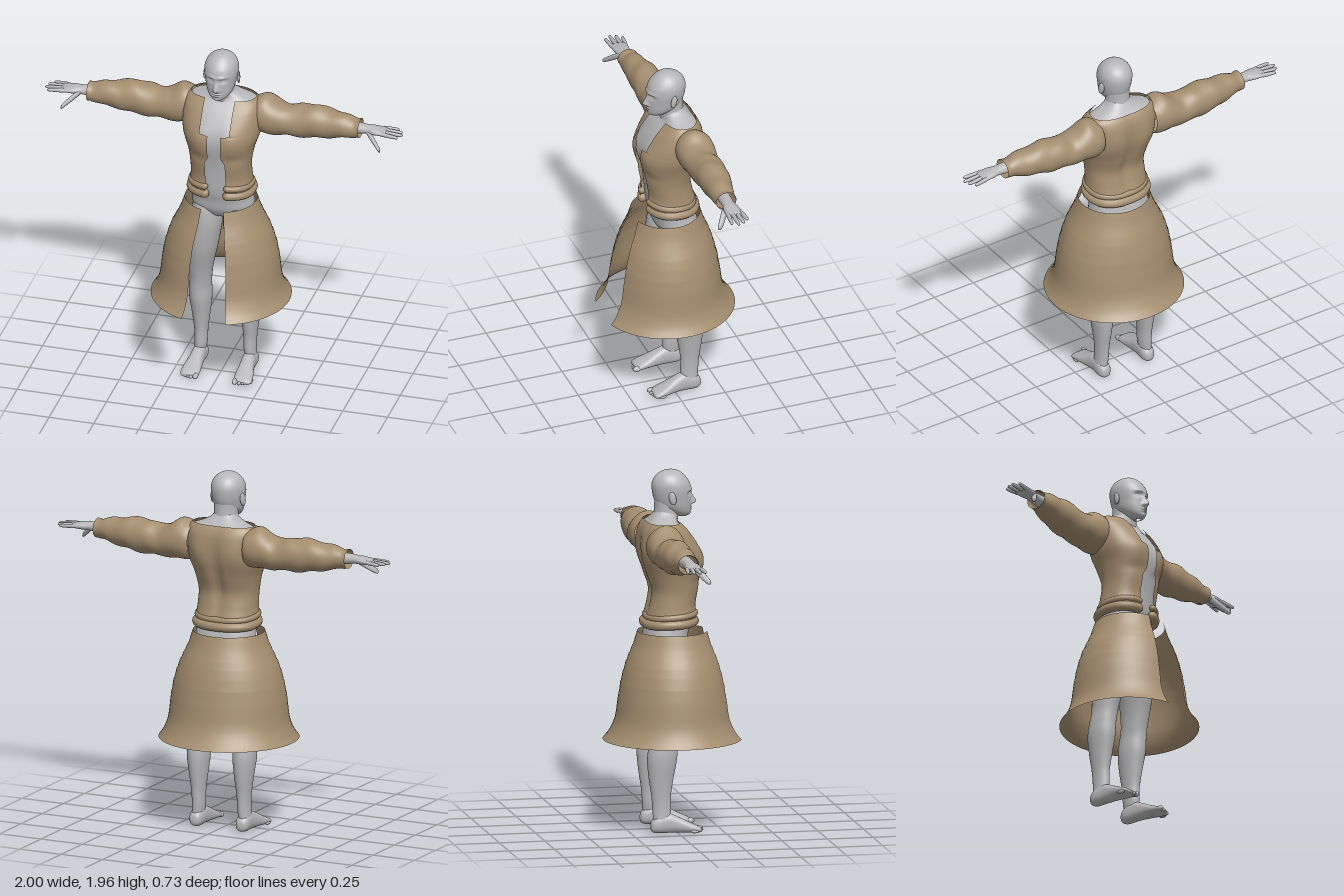
import * as THREE from 'three';
import { mergeGeometries } from 'three/addons/utils/BufferGeometryUtils.js';

const skin = new THREE.MeshStandardMaterial({ name: 'grey skin', color: 0xb8b8ba });
const cloth = new THREE.MeshStandardMaterial({ name: 'tan cloth', color: 0xa58e70, side: THREE.DoubleSide });

// Which coordinate takes the sine, the cosine and the row position for each loft axis
const AXES = { y: ['x', 'z', 'y'], x: ['z', 'y', 'x'], z: ['y', 'x', 'z'] };

// Smooth loft through rings [t, centreSin, centreCos, radiusSin, radiusCos]
function loft(axis, rings, { n = 32, sub = 5, power = 1, gap = null, warp = null } = {}) {
  const [s, c, t] = AXES[axis], pos = [], idx = [], rows = [];
  const at = (i) => rings[Math.min(Math.max(i, 0), rings.length - 1)];
  for (let i = 0; i < rings.length - 1; i++)
    for (let k = 0; k < sub; k++) {
      const u = k / sub;
      rows.push(at(i).map((b, d) => {
        const a = at(i - 1)[d], e = at(i + 1)[d], f = at(i + 2)[d];
        if (sub === 1) return b;
        return 0.5 * (2 * b + (e - a) * u + (2 * a - 5 * b + 4 * e - f) * u * u + (3 * b - a - 3 * e + f) * u ** 3);
      }));
    }
  rows.push(at(rings.length - 1));
  const cols = gap ? n + 1 : n;
  const pw = (v) => Math.sign(v) * Math.abs(v) ** power;
  const v = new THREE.Vector3();
  rows.forEach((r) => {
    const a0 = gap ? gap(r[0], r[3]) : 0;
    for (let j = 0; j < cols; j++) {
      const a = a0 + (2 * Math.PI - 2 * a0) * j / n;
      v[s] = r[1] + Math.max(r[3], 0.0005) * pw(Math.sin(a));
      v[c] = r[2] + Math.max(r[4], 0.0005) * pw(Math.cos(a));
      v[t] = r[0];
      if (warp) warp(v);
      pos.push(v.x, v.y, v.z);
    }
  });
  for (let i = 0; i < rows.length - 1; i++)
    for (let j = 0; j < n; j++) {
      const k = (j + 1) % cols, a = i * cols + j, b = i * cols + k;
      idx.push(a, b, b + cols, a, b + cols, a + cols);
    }
  const g = new THREE.BufferGeometry();
  g.setAttribute('position', new THREE.Float32BufferAttribute(pos, 3));
  g.setIndex(idx);
  g.computeVertexNormals();
  return g;
}

// Mirror a geometry to the other side, keeping faces outward
function mirror(geo) {
  const g = geo.clone().scale(-1, 1, 1), ix = g.index.array;
  for (let i = 0; i < ix.length; i += 3) [ix[i], ix[i + 1]] = [ix[i + 1], ix[i]];
  g.computeVertexNormals();
  return g;
}

// Ring from a front and a back depth: [y, halfWidth, front, back]
const fb = ([y, w, f, b]) => [y, 0, (f + b) / 2, w, (f - b) / 2];
const bump = (v, x, y, sx, sy) => Math.exp(-(((v.x - x) / sx) ** 2) - ((v.y - y) / sy) ** 2);

export function createModel() {
  const model = new THREE.Group();
  const add = (name, geo, mat) => {
    const m = new THREE.Mesh(geo, mat);
    m.name = name;
    model.add(m);
  };
  const pair = (name, geo, mat) => {
    add('left ' + name, geo, mat);
    add('right ' + name, mirror(geo), mat);
  };

  // Chest, shoulder blade and spine relief shared by body and jacket
  const muscles = (v) => {
    const ax = { x: Math.abs(v.x), y: v.y };
    if (v.z > 0) v.z += 0.014 * bump(ax, 0.09, 1.48, 0.06, 0.07) - 0.008 * bump(ax, 0.1, 1.37, 0.07, 0.03);
    else if (v.z < -0.06) v.z += 0.022 * bump(ax, 0, 1.4, 0.03, 0.2) - 0.012 * bump(ax, 0.11, 1.54, 0.05, 0.08);
  };

  // Torso, from crotch to the base of the neck
  add('torso', loft('y', [
    [0.95, 0.02, -0.02, -0.06], [0.97, 0.09, 0.035, -0.13], [1.02, 0.165, 0.07, -0.16], [1.08, 0.163, 0.083, -0.152],
    [1.15, 0.155, 0.1, -0.135], [1.3, 0.15, 0.115, -0.105], [1.4, 0.165, 0.135, -0.135], [1.48, 0.19, 0.138, -0.16],
    [1.55, 0.2, 0.118, -0.17], [1.62, 0.2, 0.075, -0.165], [1.665, 0.185, 0.035, -0.15], [1.69, 0.13, 0.022, -0.13],
    [1.715, 0.08, 0.02, -0.11], [1.74, 0.06, 0.02, -0.09],
  ].map(fb), { n: 48, power: 0.85, warp: muscles }), skin);
  add('neck', loft('y', [[1.62, 0.085, 0.03, -0.13], [1.68, 0.075, 0.03, -0.115], [1.73, 0.066, 0.035, -0.098],
    [1.8, 0.066, 0.03, -0.095]].map(fb)), skin);

  // Head with sculpted face
  const face = (v) => {
    if (v.z < 0.02) return;
    const ax = { x: Math.abs(v.x), y: v.y };
    v.z += 0.03 * bump(ax, 0, 1.78, 0.013, v.y > 1.78 ? 0.035 : 0.01)
      + 0.008 * bump(ax, 0.014, 1.777, 0.009, 0.009)
      + 0.008 * bump(ax, 0.03, 1.853, 0.028, 0.009)
      - 0.016 * bump(ax, 0.036, 1.832, 0.018, 0.012)
      + 0.007 * bump(ax, 0.036, 1.83, 0.011, 0.006)
      + 0.008 * bump(ax, 0, 1.752, 0.022, 0.005)
      + 0.007 * bump(ax, 0, 1.74, 0.02, 0.005)
      - 0.006 * bump(ax, 0, 1.746, 0.024, 0.003)
      + 0.006 * bump(ax, 0, 1.72, 0.018, 0.01);
  };
  add('head', loft('y', [
    [1.703, 0.012, 0.075, 0.04], [1.712, 0.035, 0.092, 0.005], [1.73, 0.056, 0.1, -0.03], [1.76, 0.073, 0.103, -0.075],
    [1.8, 0.083, 0.103, -0.098], [1.85, 0.091, 0.104, -0.109], [1.89, 0.089, 0.095, -0.108], [1.925, 0.073, 0.07, -0.09],
    [1.948, 0.047, 0.043, -0.06], [1.958, 0.022, 0.017, -0.03], [1.96, 0, -0.006, -0.006],
  ].map(fb), { n: 80, sub: 9, warp: face }), skin);
  const ear = new THREE.SphereGeometry(1, 16, 12).scale(0.009, 0.036, 0.02);
  pair('ear', ear.rotateX(-0.2).rotateY(0.3).translate(0.092, 1.815, -0.015), skin);

  // Legs, feet and toes
  pair('leg', loft('y', [
    [0.04, 0.145, -0.085, 0.03, 0.045], [0.12, 0.137, -0.085, 0.034, 0.05], [0.2, 0.137, -0.088, 0.037, 0.053],
    [0.3, 0.137, -0.088, 0.049, 0.068], [0.4, 0.138, -0.083, 0.061, 0.081], [0.48, 0.138, -0.075, 0.061, 0.078],
    [0.54, 0.134, -0.065, 0.062, 0.075], [0.62, 0.13, -0.055, 0.07, 0.083], [0.75, 0.115, -0.04, 0.084, 0.1],
    [0.9, 0.095, -0.035, 0.09, 0.11], [1.0, 0.085, -0.04, 0.083, 0.11], [1.06, 0.08, -0.04, 0.07, 0.09],
  ]), skin);
  const foot = [loft('z', [
    [-0.147, 0.035, 0.14, 0, 0], [-0.14, 0.038, 0.14, 0.028, 0.024], [-0.11, 0.046, 0.14, 0.046, 0.037],
    [-0.05, 0.053, 0.14, 0.053, 0.037], [0, 0.044, 0.142, 0.044, 0.04], [0.06, 0.029, 0.146, 0.029, 0.049],
    [0.1, 0.02, 0.148, 0.02, 0.051], [0.125, 0.014, 0.148, 0.012, 0.042], [0.128, 0.014, 0.148, 0, 0],
  ], { power: 0.85 })];
  for (let i = 0; i < 5; i++) {
    const r = i ? 0.0105 : 0.015;
    foot.push(new THREE.SphereGeometry(1, 12, 8).scale(r, r, 0.024)
      .translate(0.11 + i * 0.019 + (i ? 0.005 : 0), r, 0.123 - i * i * 0.0022).deleteAttribute('uv'));
  }
  pair('foot', mergeGeometries(foot), skin);

  // Hands: wrist and palm, four fingers and a thumb
  const hand = [loft('x', [
    [0.68, -0.068, 1.574, 0.036, 0.035], [0.76, -0.065, 1.575, 0.033, 0.029], [0.8, -0.064, 1.576, 0.033, 0.024],
    [0.84, -0.063, 1.575, 0.043, 0.022], [0.885, -0.064, 1.573, 0.046, 0.016], [0.905, -0.065, 1.572, 0.042, 0.01],
    [0.908, -0.065, 1.572, 0, 0],
  ])];
  const finger = (x0, x1, z0, z1, y0, y1, r) => {
    const ring = (u, k) => [x0 + (x1 - x0) * u, z0 + (z1 - z0) * u, y0 + (y1 - y0) * u, r * k, r * k];
    return loft('x', [ring(0, 1), ring(0.3, 1), ring(0.6, 0.92), ring(0.9, 0.75), ring(0.98, 0.42), ring(1, 0)], { n: 12, sub: 3 });
  };
  [[0.965, -0.101, -0.112], [0.99, -0.077, -0.083], [1.0, -0.052, -0.051], [0.98, -0.029, -0.018]].forEach(([x, z0, z1]) =>
    hand.push(finger(0.88, x, z0, z1, 1.574, 1.57, 0.0115)));
  hand.push(finger(0.8, 0.893, -0.05, 0.022, 1.572, 1.495, 0.019));
  pair('hand', mergeGeometries(hand), skin);

  // Open jacket with a stepped front edge
  const frontGap = (y, w) => {
    const half = y > 1.52 ? 0.083 : y > 1.38 ? 0.036 : y > 1.34 ? 0.036 + (1.38 - y) * 0.5 : 0.056;
    return Math.asin(Math.min((half / w) ** (1 / 0.85), 0.9));
  };
  add('jacket body', loft('y', [
    [1.12, 0.175, 0.125, -0.155], [1.17, 0.172, 0.128, -0.15], [1.23, 0.166, 0.122, -0.135], [1.31, 0.166, 0.135, -0.125],
    [1.4, 0.182, 0.151, -0.152], [1.48, 0.208, 0.152, -0.175], [1.55, 0.215, 0.133, -0.182], [1.62, 0.213, 0.092, -0.178],
    [1.66, 0.203, 0.058, -0.165], [1.685, 0.178, 0.036, -0.148],
  ].map(fb), { n: 64, sub: 8, power: 0.85, gap: frontGap, warp: muscles }), cloth);

  // Rolled hem: two padded bands, lower at the back
  const roll = (name, y, drop, w, f, b, r) => {
    const pts = [];
    for (let i = 0; i <= 24; i++) {
      const a = 0.33 + (2 * Math.PI - 0.66) * i / 24, k = Math.cos(a);
      pts.push(new THREE.Vector3(w * Math.sign(Math.sin(a)) * Math.abs(Math.sin(a)) ** 0.85,
        y + drop * k, (f + b) / 2 + (f - b) / 2 * Math.sign(k) * Math.abs(k) ** 0.85));
    }
    const ends = [pts[0], pts[24]].map((p) => new THREE.SphereGeometry(r, 12, 8).translate(p.x, p.y, p.z));
    add(name, mergeGeometries([new THREE.TubeGeometry(new THREE.CatmullRomCurve3(pts), 72, r, 12), ...ends]), cloth);
  };
  roll('lower hem roll', 1.135, 0.007, 0.165, 0.115, -0.148, 0.026);
  roll('upper hem roll', 1.175, 0.012, 0.162, 0.118, -0.138, 0.019);

  // Puffed sleeves with loose cuffs
  const folds = (v) => {
    if (v.x < 0.74) v.y += 0.004 * Math.sin(v.x * 42 + v.z * 25);
  };
  pair('sleeve', loft('x', [
    [0.165, -0.085, 1.575, 0.085, 0.095], [0.195, -0.083, 1.578, 0.1, 0.107], [0.24, -0.082, 1.578, 0.104, 0.112],
    [0.3, -0.082, 1.564, 0.1, 0.096], [0.36, -0.082, 1.557, 0.092, 0.085], [0.43, -0.083, 1.563, 0.09, 0.092],
    [0.5, -0.083, 1.569, 0.086, 0.093], [0.58, -0.08, 1.571, 0.08, 0.082], [0.67, -0.072, 1.572, 0.067, 0.067],
    [0.73, -0.068, 1.572, 0.057, 0.053], [0.76, -0.066, 1.573, 0.057, 0.053],
  ], { n: 40, sub: 6, warp: folds }), cloth);

  // Flared skirt, ridged in bands and split at the front
  add('coat skirt', loft('y', [
    [0.49, 0.38, 0.375], [0.515, 0.362, 0.352], [0.54, 0.349, 0.336], [0.57, 0.338, 0.321], [0.6, 0.331, 0.309],
    [0.64, 0.326, 0.301], [0.69, 0.321, 0.295], [0.735, 0.316, 0.288], [0.745, 0.312, 0.285], [0.795, 0.305, 0.279],
    [0.805, 0.3, 0.275], [0.855, 0.288, 0.265], [0.865, 0.282, 0.26], [0.905, 0.27, 0.251], [0.915, 0.262, 0.245],
    [0.95, 0.248, 0.235], [0.96, 0.24, 0.228], [0.995, 0.227, 0.216], [1.005, 0.22, 0.21], [1.04, 0.209, 0.2], [1.08, 0.196, 0.188],
  ].map(([y, w, d]) => [y, 0, 0.002, w, d]), { n: 60, sub: 1, gap: () => 0.325 }), cloth);

  return model;
}
